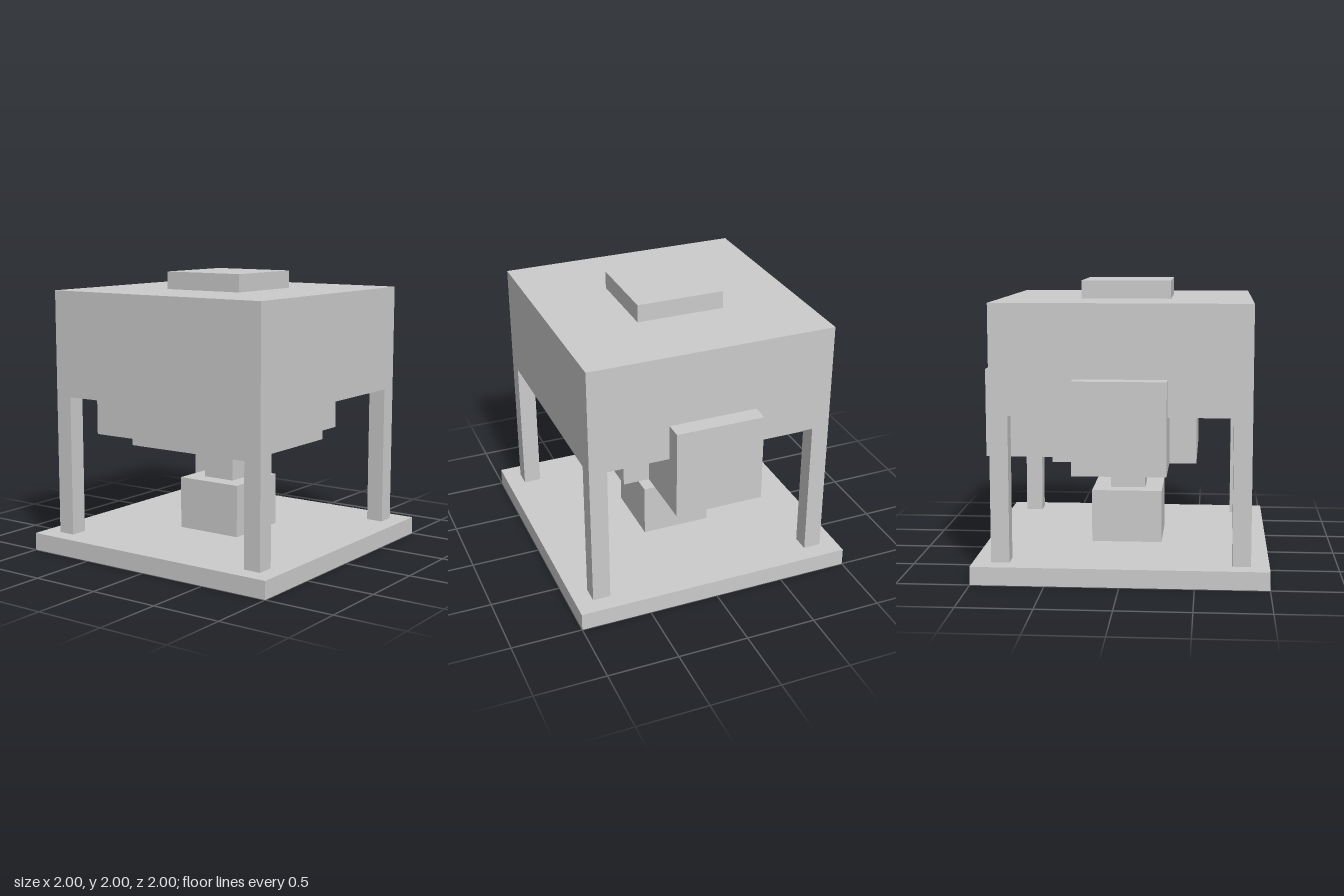
import * as THREE from 'three';

const material = new THREE.MeshStandardMaterial({ color: 0xcccccc, flatShading: true });

// Box given by its minimum and maximum corners
function block(name, [x0, y0, z0], [x1, y1, z1]) {
  const geometry = new THREE.BoxGeometry(x1 - x0, y1 - y0, z1 - z0);
  const mesh = new THREE.Mesh(geometry, material);
  mesh.position.set((x0 + x1) / 2, (y0 + y1) / 2, (z0 + z1) / 2);
  mesh.name = name;
  return mesh;
}

// Square block centred on the vertical axis
const centred = (name, half, y0, y1) => block(name, [-half, y0, -half], [half, y1, half]);

// Arm under the housing ending in an upright plate, pointing along +x
function sidePort(name) {
  const port = new THREE.Group();
  port.name = name;
  port.add(
    block('arm', [0.5, 0.75, -0.3125], [0.875, 1.125, 0.3125]),
    block('plate', [0.875, 0.75, -0.3125], [1, 1.375, 0.3125])
  );
  return port;
}

export function createModel() {
  const model = new THREE.Group();
  model.name = 'machine';

  // Central stack from the floor up
  model.add(
    centred('base', 1, 0, 0.125),
    centred('pedestal', 0.25, 0.125, 0.5),
    centred('neck', 0.125, 0.5, 0.75),
    centred('core', 0.5, 0.75, 1.125),
    centred('housing', 0.875, 1.125, 1.875),
    centred('topPlate', 0.3125, 1.875, 2)
  );

  // Four corner legs
  for (const sx of [-1, 1]) {
    for (const sz of [-1, 1]) {
      const leg = block('leg', [-0.0625, 0.125, -0.0625], [0.0625, 1.125, 0.0625]);
      leg.position.x = sx * 0.8125;
      leg.position.z = sz * 0.8125;
      model.add(leg);
    }
  }

  // Ports on the left side and the back
  const backPort = sidePort('backPort');
  backPort.rotation.y = Math.PI / 2;
  model.add(sidePort('leftPort'), backPort);

  return model;
}
